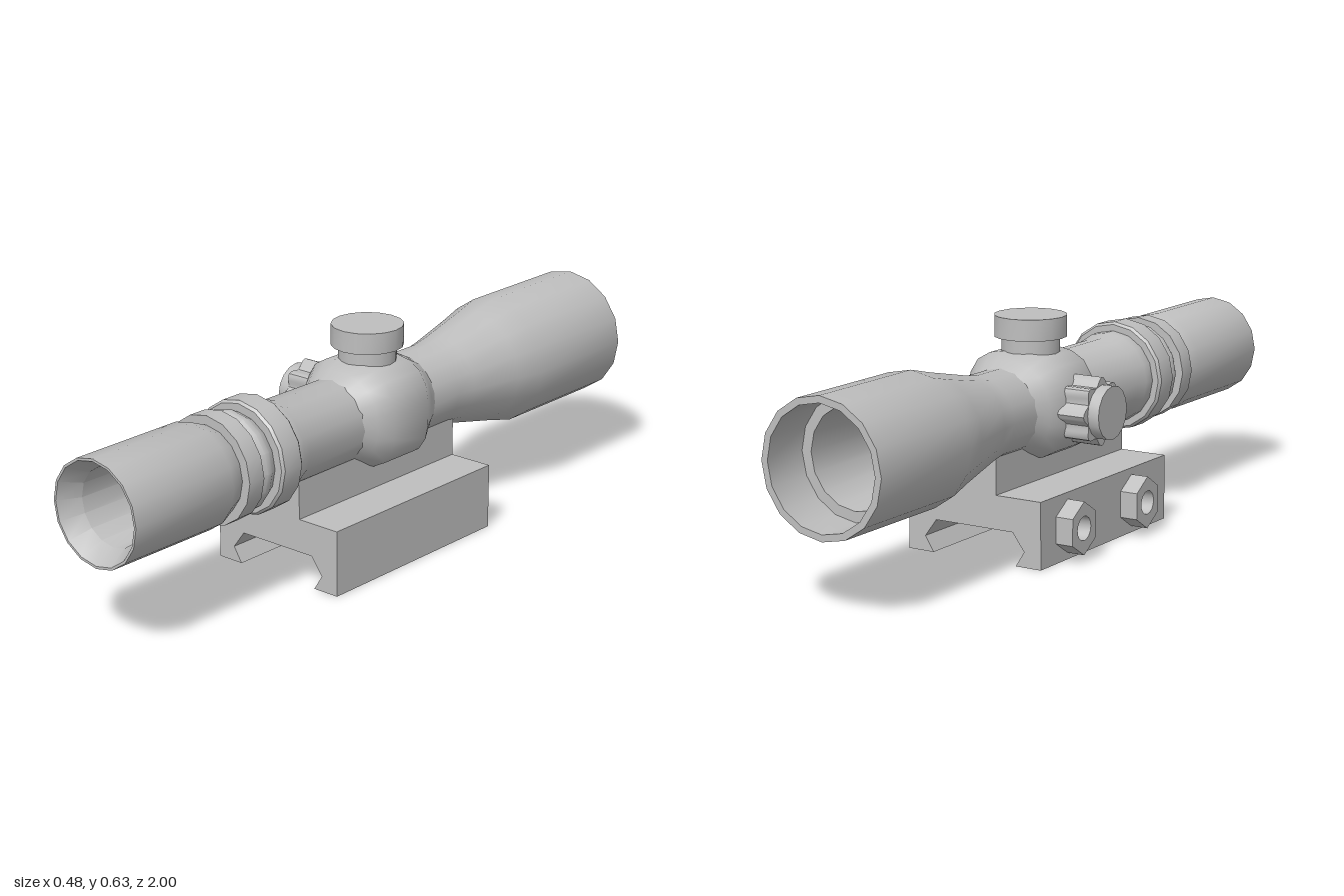
import * as THREE from 'three';
import { toCreasedNormals } from 'three/addons/utils/BufferGeometryUtils.js';

const AX = 0.024, AY = 0.386, TZ = -0.048; // tube axis and turret position

export function createModel() {
  const model = new THREE.Group();
  const metal = new THREE.MeshStandardMaterial({ color: 0xbebebe });
  metal.name = 'grey metal';

  const add = (name, geometry, x = 0, y = 0, z = 0, crease = 0.6) => {
    const mesh = new THREE.Mesh(toCreasedNormals(geometry, crease), metal);
    mesh.name = name;
    mesh.position.set(x, y, z);
    model.add(mesh);
    return mesh;
  };
  const vectors = (list) => list.map(([a, b]) => new THREE.Vector2(a, b));

  // Hollow tube: outside from objective to eyepiece, then back through the bore
  const profile = [
    [0.167, -1], [0.186, -1], [0.186, -0.615], [0.165, -0.53], [0.13, -0.37], [0.12, -0.31],
    [0.122, 0.33], [0.134, 0.36], [0.134, 0.395],
    [0.153, 0.395], [0.16, 0.403], [0.16, 0.468], [0.153, 0.475],
    [0.13, 0.475], [0.143, 0.5], [0.143, 0.515], [0.128, 0.54],
    [0.152, 0.54], [0.152, 0.595], [0.126, 0.595], [0.148, 0.65], [0.148, 1],
    [0.141, 1], [0.108, 0.94], [0.104, 0.6], [0.099, 0.35], [0.099, -0.4],
    [0.138, -0.86], [0.167, -0.86], [0.167, -1],
  ];
  add('scopeTube', new THREE.LatheGeometry(vectors(profile), 16).rotateX(Math.PI / 2), AX, AY);

  // Saddle: rounded-square cross-sections blending into the tube at both ends
  const stations = [ // z, half width, top, bottom, roundness exponent
    [-0.21, 0.115, 0.115, 0.115, 2], [-0.165, 0.138, 0.135, 0.125, 2.4],
    [-0.12, 0.161, 0.153, 0.14, 3], [0.025, 0.161, 0.153, 0.14, 3],
    [0.07, 0.138, 0.135, 0.125, 2.4], [0.115, 0.115, 0.115, 0.115, 2],
  ];
  const N = 24, positions = [], indices = [];
  stations.forEach(([z, w, top, bottom, e], s) => {
    for (let i = 0; i < N; i++) {
      const t = (i / N) * Math.PI * 2, c = Math.cos(t), n = Math.sin(t);
      const k = Math.pow(Math.abs(c) ** e + Math.abs(n) ** e, -1 / e);
      positions.push(c * k * w, n * k * (n > 0 ? top : bottom), z);
      if (s < stations.length - 1) {
        const a = s * N + i, b = s * N + (i + 1) % N;
        indices.push(a, b, b + N, a, b + N, a + N);
      }
    }
  });
  const saddle = new THREE.BufferGeometry();
  saddle.setAttribute('position', new THREE.Float32BufferAttribute(positions, 3));
  saddle.setIndex(indices);
  add('turretSaddle', saddle, AX, AY, 0, 0.8);

  // Top turret
  add('topTurretNeck', new THREE.CylinderGeometry(0.082, 0.082, 0.1, 16), AX, 0.53, TZ);
  add('topTurretCap', new THREE.CylinderGeometry(0.102, 0.102, 0.06, 16), AX, 0.605, TZ);

  // Parts on the -x side are extruded outward along -x
  const sideExtrude = (shape, depth, curveSegments = 12) =>
    new THREE.ExtrudeGeometry(shape, { depth, bevelEnabled: false, curveSegments }).rotateY(-Math.PI / 2);

  // Side knob with a lobed grip
  const grip = new THREE.Shape(Array.from({ length: 64 }, (_, i) => {
    const t = (i / 64) * Math.PI * 2, r = 0.086 + 0.01 * Math.cos(8 * t);
    return new THREE.Vector2(r * Math.cos(t), r * Math.sin(t));
  }));
  add('sideKnobGrip', sideExtrude(grip, 0.088), -0.12, AY, TZ);
  add('sideKnobCap', new THREE.CylinderGeometry(0.075, 0.075, 0.05, 16).rotateZ(Math.PI / 2), -0.217, AY, TZ);

  // Mount with dovetail slot, one constant profile
  const mount = new THREE.Shape(vectors([
    [-0.19, 0], [-0.11, 0], [-0.137, 0.043], [-0.1, 0.093], [0.15, 0.093], [0.187, 0.043],
    [0.16, 0], [0.241, 0], [0.241, 0.188], [0.107, 0.188], [0.107, 0.3], [0.085, 0.286],
    [AX, 0.272], [-0.025, 0.286], [-0.047, 0.3], [-0.047, 0.188], [-0.19, 0.188],
  ]));
  add('railMount', new THREE.ExtrudeGeometry(mount, { depth: 0.66, bevelEnabled: false }), 0, 0, -0.33, 0.3);

  // Hex clamp nuts with a bored centre
  for (const z of [-0.195, 0.143]) {
    const hex = new THREE.Shape(Array.from({ length: 6 }, (_, i) => {
      const t = (i / 6) * Math.PI * 2;
      return new THREE.Vector2(0.068 * Math.sin(t), 0.075 * Math.cos(t));
    }).reverse());
    hex.holes.push(new THREE.Path().absarc(0, 0, 0.034, 0, Math.PI * 2, true));
    add('clampNut', sideExtrude(hex, 0.054, 8), -0.189, 0.094, z);
  }
  return model;
}
